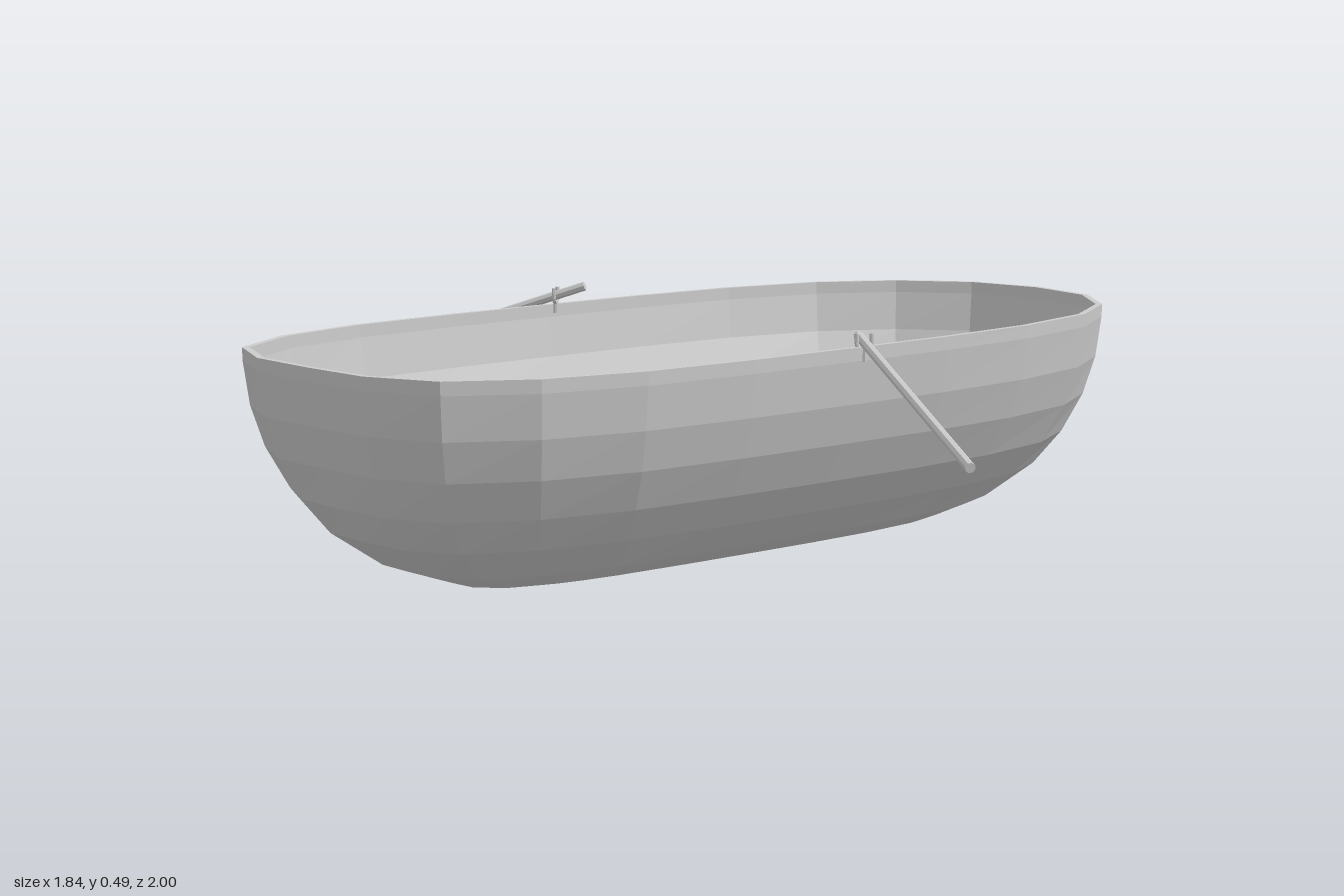
import * as THREE from 'three';

const H = 0.445, CZ = -0.045;
const material = new THREE.MeshStandardMaterial({ color: 0xcccccc, flatShading: true, side: THREE.DoubleSide });

// Half of the gunwale outline (x, half width), from the blunt left-hand end to the other
const half = [[0.92, 0], [0.89, 0.16], [0.79, 0.29], [0.64, 0.38], [0.43, 0.427], [0.2, 0.443], [-0.04, 0.445],
  [-0.28, 0.443], [-0.515, 0.43], [-0.71, 0.385], [-0.855, 0.295], [-0.915, 0.157], [-0.92, 0]];
const outline = [...half, ...half.slice(1, -1).reverse().map(([x, z]) => [x, -z])];

// Heights of the rings that make up the bowl of the hull
const levels = [0.001, 0.006, 0.025, 0.06, 0.125, 0.19, 0.265, 0.34, 0.42, H];

// Ring of the hull at height y: circular across, much fuller lengthwise
function ring(y, inset) {
  const s = Math.sqrt(1 - ((H - y) / H) ** 2);
  const sx = Math.pow(s, 0.37) * (1 - inset / 0.92), sz = s * (1 - inset / H);
  const lift = inset * (1 - y / H);
  return outline.map(([x, z]) => [x * sx, y + lift, CZ + z * sz]);
}

function hullGeometry() {
  const wall = 0.012, n = outline.length;
  const rings = [
    outline.map(() => [0, 0, CZ]),
    ...levels.map((y) => ring(y, 0)),
    ...[...levels].reverse().map((y) => ring(y, wall)),
    outline.map(() => [0, wall, CZ]),
  ];
  const index = [];
  for (let r = 0; r < rings.length - 1; r++) {
    for (let i = 0; i < n; i++) {
      const a = r * n + i, b = r * n + (i + 1) % n, c = a + n, d = b + n;
      if (r > 0) index.push(a, c, b);
      if (r < rings.length - 2) index.push(b, c, d);
      else index.pop(), index.pop(), index.pop(), index.push(a, c, b);
    }
  }
  const geometry = new THREE.BufferGeometry();
  geometry.setAttribute('position', new THREE.Float32BufferAttribute(rings.flat(2), 3));
  geometry.setIndex(index);
  geometry.computeVertexNormals();
  return geometry;
}

function add(parent, name, geometry) {
  const mesh = new THREE.Mesh(geometry, material);
  mesh.name = name;
  parent.add(mesh);
  return mesh;
}

// Straight pole between two points
function pole(parent, name, from, to, radius) {
  const mesh = add(parent, name, new THREE.CylinderGeometry(radius, radius, from.distanceTo(to), 8));
  mesh.position.copy(from).add(to).multiplyScalar(0.5);
  mesh.quaternion.setFromUnitVectors(new THREE.Vector3(0, 1, 0), to.clone().sub(from).normalize());
}

// U-shaped fork on a short pin, cradling the oar
function oarlock(parent, position, yaw) {
  const lock = new THREE.Group();
  lock.name = 'oarlock';
  const v = (x, y) => new THREE.Vector3(x, y, 0);
  add(lock, 'oarlockFork', new THREE.TorusGeometry(0.014, 0.004, 6, 10, Math.PI)).rotation.z = Math.PI;
  for (const s of [-1, 1]) pole(lock, 'oarlockProng', v(s * 0.014, 0), v(s * 0.014, 0.016), 0.004);
  pole(lock, 'oarlockPin', v(0, -0.035), v(0, -0.012), 0.005);
  lock.position.copy(position);
  lock.rotation.y = yaw;
  parent.add(lock);
}

export function createModel() {
  const group = new THREE.Group();
  group.name = 'rowingBoat';
  add(group, 'hull', hullGeometry());

  // Oars: handle end, blade end, and where along it the oarlock sits
  const oars = [
    [[0.005, 0.46, 0.36], [-0.36, 0.338, 0.997], 0.06],
    [[0.01, 0.483, -0.425], [-0.405, 0.245, -0.997], 0.085],
  ];
  for (const [a, b, t] of oars) {
    const handle = new THREE.Vector3(...a), tip = new THREE.Vector3(...b);
    pole(group, 'oar', handle, tip, 0.009);
    oarlock(group, handle.clone().lerp(tip, t), Math.atan2(tip.x - handle.x, tip.z - handle.z));
  }
  return group;
}
